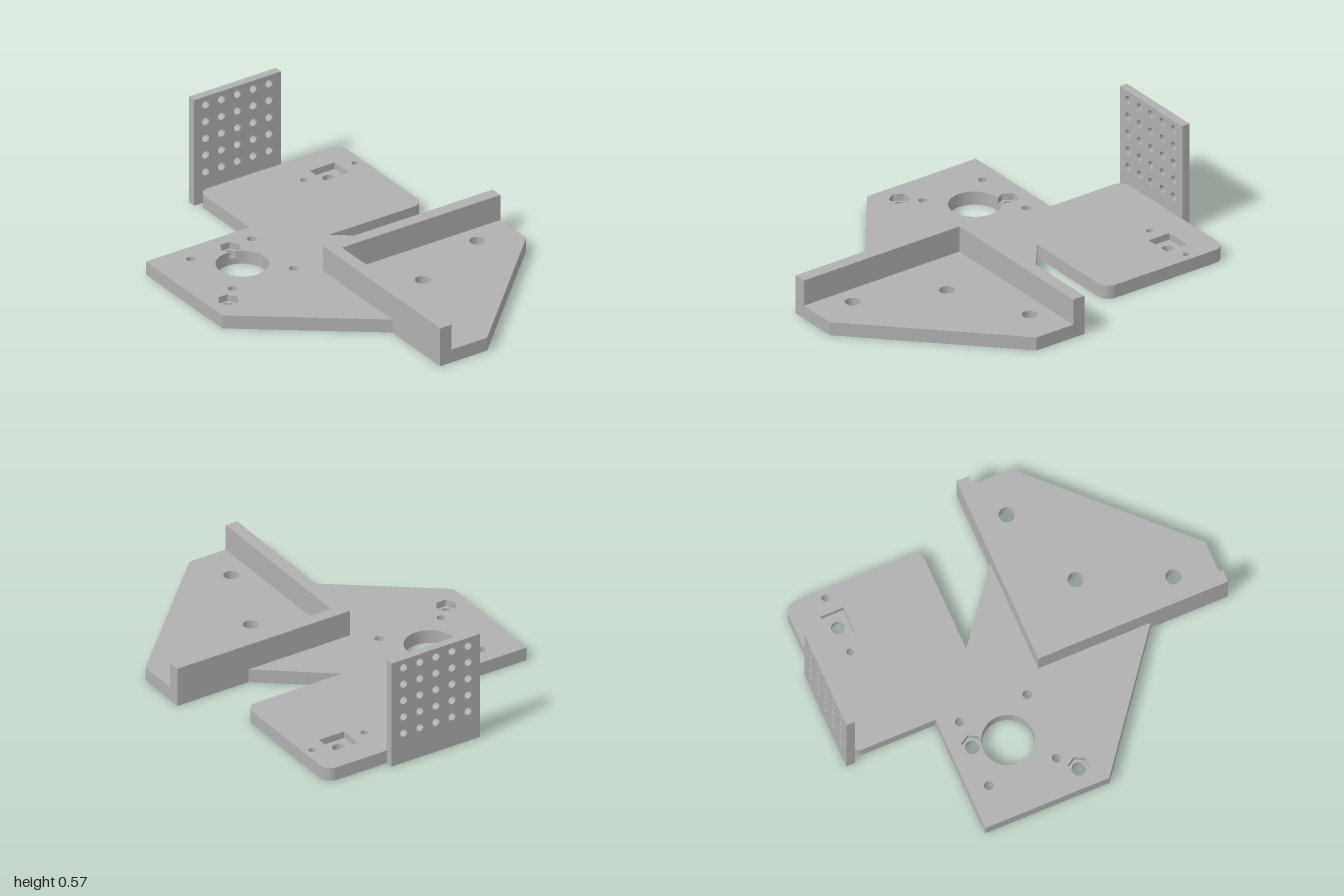
import * as THREE from 'three';
import { toCreasedNormals } from 'three/addons/utils/BufferGeometryUtils.js';

const BASE_TOP = 0.07, POCKET_FLOOR = 0.035, WALL_TOP = 0.205;

const circle = (x, y, r) => new THREE.Path().absarc(x, y, r, 0, Math.PI * 2, false);
const polygon = (pts) => new THREE.Path(pts.map(([x, y]) => new THREE.Vector2(x, y))).closePath();
const hexPoints = (x, y, r) => Array.from({ length: 6 }, (_, i) => {
  const a = (i * Math.PI) / 3;
  return [x + r * Math.cos(a), y + r * Math.sin(a)];
});

// Extrude a flat outline; shape y becomes world z for horizontal layers
function extrude(shape, depth) {
  const g = new THREE.ExtrudeGeometry(shape, { depth, bevelEnabled: false, curveSegments: 24 });
  return toCreasedNormals(g, 0.6);
}
function layer(shape, bottom, top) {
  return extrude(shape, top - bottom).rotateX(Math.PI / 2).translate(0, top, 0);
}

// Outline of the base plate in x, z
function baseOutline() {
  const s = new THREE.Shape(), r = 0.06, P = Math.PI;
  s.moveTo(-0.81, -0.53);
  s.lineTo(-0.215, -0.53);
  s.absarc(-0.215 + r, -0.96 + r, r, P, 1.5 * P, false);
  s.absarc(0.6 - r, -0.96 + r, r, 1.5 * P, 2 * P, false);
  s.absarc(0.6 - r, -0.255 - r, r, 0, 0.5 * P, false);
  [[0.055, -0.255], [0.405, 0.02], [0.805, 0.02], [0.805, 0.3], [0.1, 1],
    [-0.17, 1], [-0.17, 0.6], [-0.81, 0.11]].forEach(([x, z]) => s.lineTo(x, z));
  s.closePath();
  // Plain through holes
  for (const x of [-0.62, -0.27]) for (const z of [-0.43, -0.08]) s.holes.push(circle(x, z, 0.022));
  for (const x of [0.26, 0.555]) s.holes.push(circle(x, -0.765, 0.018));
  for (const [x, z] of [[0.17, 0.36], [0.6, 0.19], [0, 0.79]]) s.holes.push(circle(x, z, 0.038));
  return s;
}

// Motor bore joined with the nut pocket that breaks into its rim
function boreWithPocket() {
  const [cx, cz] = [-0.445, -0.255];
  const from = [-0.4006, -0.374], to = [-0.4307, -0.3812];
  const angle = ([x, z]) => Math.atan2(z - cz, x - cx);
  const p = new THREE.Path();
  p.moveTo(...from);
  const h = hexPoints(-0.4, -0.42, 0.053);
  [h[1], h[0], h[5], h[4], h[3], to].forEach((q) => p.lineTo(...q));
  p.absarc(cx, cz, 0.127, angle(to), angle(from), true);
  return p;
}

export function createModel() {
  const group = new THREE.Group();
  const grey = new THREE.MeshStandardMaterial({ color: 0xb0b0b0 });
  grey.name = 'grey';
  const add = (name, geometry) => {
    const m = new THREE.Mesh(geometry, grey);
    m.name = name;
    group.add(m);
  };

  // Lower layer: bores only
  const lower = baseOutline();
  lower.holes.push(circle(-0.445, -0.255, 0.127), circle(-0.4, -0.42, 0.034),
    circle(-0.7, 0, 0.034), circle(0.405, -0.765, 0.032));
  add('basePlateLower', layer(lower, 0, POCKET_FLOOR));

  // Upper layer: nut pockets and square pocket
  const upper = baseOutline();
  upper.holes.push(boreWithPocket(), polygon(hexPoints(-0.7, 0, 0.053)),
    polygon([[0.335, -0.825], [0.478, -0.825], [0.478, -0.705], [0.335, -0.705]]));
  add('basePlateUpper', layer(upper, POCKET_FLOOR, BASE_TOP));

  // L-shaped raised wall
  const wall = new THREE.Shape([[-0.17, 0.02], [0.805, 0.02], [0.805, 0.085],
    [-0.105, 0.085], [-0.105, 1], [-0.17, 1]].map(([x, z]) => new THREE.Vector2(x, z)));
  add('cornerWall', layer(wall, BASE_TOP, WALL_TOP));

  // Upright plate with a 5 x 5 grid of holes
  const panel = new THREE.Shape([[-0.24, 0], [0.26, 0], [0.26, 0.57], [-0.24, 0.57]]
    .map(([x, y]) => new THREE.Vector2(x, y)));
  for (let i = 0; i < 5; i++) for (let j = 0; j < 5; j++) {
    panel.holes.push(circle(-0.173 + i * 0.091, 0.163 + j * 0.0905, 0.02));
  }
  add('perforatedPanel', extrude(panel, 0.043).translate(0, 0, -1));

  return group;
}
